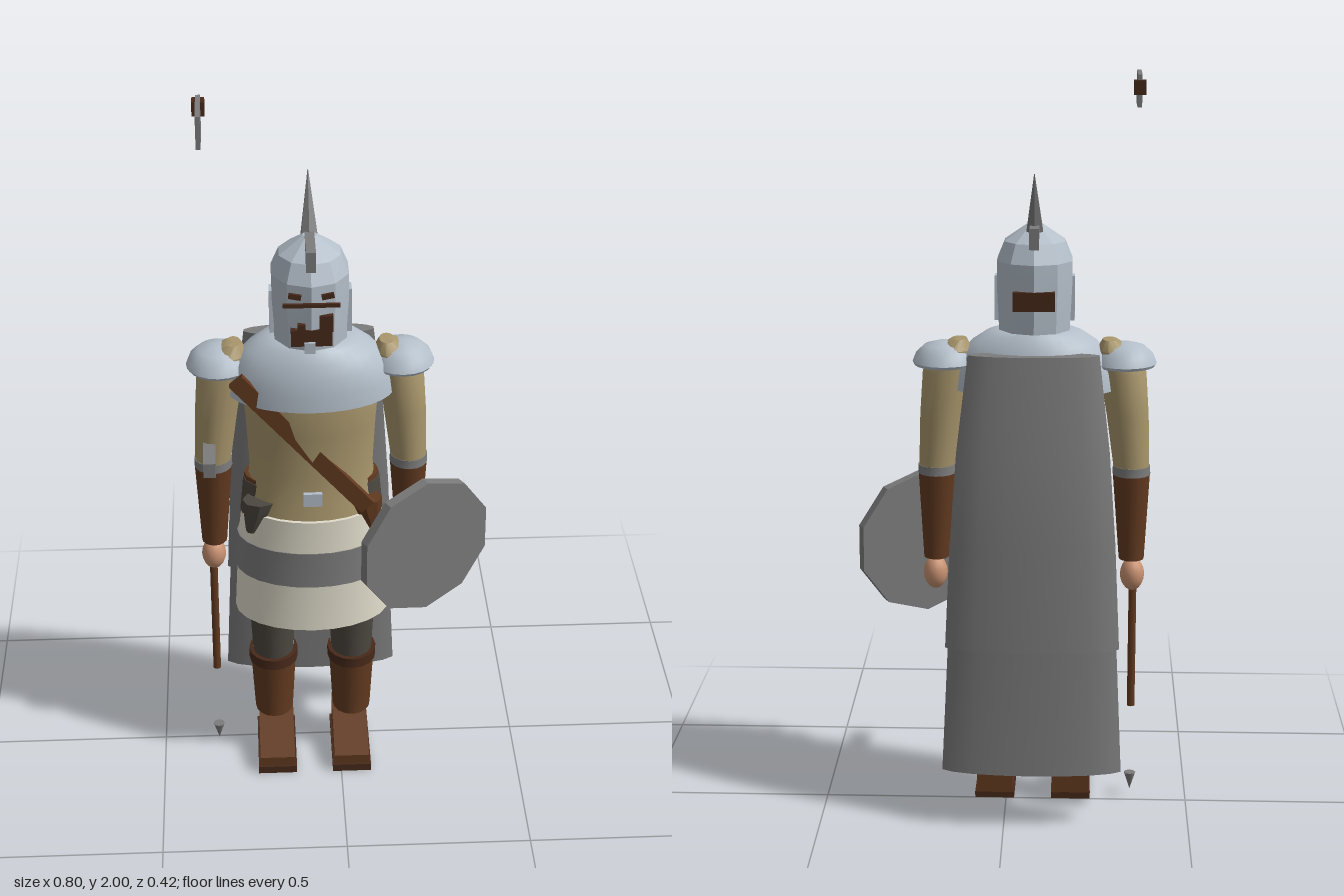
import * as THREE from 'three';
import { toCreasedNormals } from 'three/addons/utils/BufferGeometryUtils.js';

const mat = (name, color, side = THREE.FrontSide) => {
  const m = new THREE.MeshStandardMaterial({ color, side });
  m.name = name;
  return m;
};

// Closed loft through horizontal ellipses, listed bottom to top: [y, cx, cz, rx, rz]
function loft(sections, sides = 24, crease = 0.6) {
  const pos = [], idx = [], n = sections.length;
  for (const [y, cx, cz, rx, rz] of sections)
    for (let i = 0; i < sides; i++) {
      const a = (i / sides) * Math.PI * 2;
      pos.push(cx + Math.sin(a) * rx, y, cz + Math.cos(a) * rz);
    }
  for (let j = 0; j < n - 1; j++)
    for (let i = 0; i < sides; i++) {
      const k = (i + 1) % sides;
      const a = j * sides + i, b = j * sides + k, c = a + sides, d = b + sides;
      idx.push(a, b, d, a, d, c);
    }
  const bottom = pos.length / 3, top = bottom + 1;
  for (const s of [sections[0], sections[n - 1]]) pos.push(s[1], s[0], s[2]);
  for (let i = 0; i < sides; i++) {
    const k = (i + 1) % sides, t = (n - 1) * sides;
    idx.push(bottom, k, i, top, t + i, t + k);
  }
  const g = new THREE.BufferGeometry();
  g.setAttribute('position', new THREE.Float32BufferAttribute(pos, 3));
  g.setIndex(idx);
  return toCreasedNormals(g, crease);
}

// Side outline in (z, y), extruded across x and centred
function sideProfile(points, width) {
  const shape = new THREE.Shape(points.map(([z, y]) => new THREE.Vector2(z, y)));
  return new THREE.ExtrudeGeometry(shape, { depth: width, bevelEnabled: false })
    .rotateY(-Math.PI / 2).translate(width / 2, 0, 0);
}

export function createModel() {
  const steel = mat('steel', 0xb4bfca);
  const iron = mat('iron grey', 0x7c7c7c);
  const tan = mat('tan cloth', 0xa8966c);
  const brown = mat('brown leather', 0x623a20);
  const dark = mat('dark brown', 0x48291a);
  const cream = mat('cream cloth', 0xe0dccb);
  const slate = mat('dark trousers', 0x4c4740);
  const skin = mat('skin', 0xc99272);

  const model = new THREE.Group();
  const body = new THREE.Group();
  body.name = 'body';
  body.position.x = -0.075;
  model.add(body);

  const add = (name, geo, material, parent = body, x = 0, y = 0, z = 0) => {
    const m = new THREE.Mesh(geo, material);
    m.name = name;
    m.position.set(x, y, z);
    parent.add(m);
    return m;
  };
  const box = (name, w, h, d, material, x, y, z, parent = body) =>
    add(name, new THREE.BoxGeometry(w, h, d), material, parent, x, y, z);
  // Centred loft around the body axis: [y, rx, rz]
  const ring = (name, rows, material, sides, crease) =>
    add(name, loft(rows.map(([y, rx, rz]) => [y, 0, 0.035, rx, rz]), sides, crease), material);

  // Torso and clothing
  ring('torso', [[0.80, 0.185, 0.125], [0.88, 0.172, 0.112], [0.95, 0.165, 0.105], [1.08, 0.172, 0.112],
    [1.18, 0.18, 0.12], [1.27, 0.16, 0.10], [1.34, 0.07, 0.06]], tan);
  ring('mantle', [[1.175, 0.222, 0.143], [1.22, 0.217, 0.141], [1.265, 0.2, 0.133],
    [1.3, 0.168, 0.12], [1.325, 0.13, 0.105], [1.335, 0.1, 0.095]], steel, 32);
  ring('upperSkirt', [[0.73, 0.199, 0.134], [0.83, 0.187, 0.13]], cream);
  ring('skirtBand', [[0.63, 0.208, 0.139], [0.735, 0.203, 0.136]], iron);
  ring('lowerSkirt', [[0.49, 0.212, 0.141], [0.635, 0.204, 0.136]], cream);
  ring('belt', [[0.80, 0.193, 0.098], [0.905, 0.183, 0.092]], slate);
  ring('beltTrim', [[0.905, 0.181, 0.09], [0.918, 0.18, 0.09]], brown);
  box('buckle', 0.05, 0.038, 0.02, steel, 0.0, 0.895, 0.145);
  const strap = box('chestStrap', 0.045, 0.52, 0.02, brown, -0.025, 1.056, 0.133);
  strap.rotation.z = 0.72;

  // Head: faceted helmet with ridge and raked spike
  ring('helmet', [[1.335, 0.098, 0.104], [1.45, 0.104, 0.112], [1.52, 0.104, 0.112],
    [1.57, 0.083, 0.086], [1.615, 0.018, 0.018]], steel, 10, 0.1);
  box('helmetRidge', 0.025, 0.055, 0.215, iron, 0, 1.588, 0.037);
  add('helmetSpike', loft([[1.58, 0, 0.017, 0.028, 0.028], [1.755, 0, -0.053, 0.001, 0.001]], 6, 0.1), iron);
  box('visorSlit', 0.145, 0.01, 0.008, dark, 0, 1.475, 0.156);
  box('beard', 0.105, 0.045, 0.02, dark, 0, 1.375, 0.135);
  box('beardNotch', 0.028, 0.03, 0.008, steel, -0.005, 1.35, 0.148);
  box('hairBack', 0.11, 0.05, 0.025, dark, 0, 1.425, -0.068);
  for (const s of [-1, 1]) {
    box('eye', 0.032, 0.014, 0.008, dark, s * 0.042, 1.494, 0.143).rotation.z = s * 0.2;
    box('cheekGuard', 0.012, 0.12, 0.04, steel, s * 0.1, 1.415, 0.05);
  }
  box('moustache', 0.035, 0.045, 0.018, dark, 0.038, 1.415, 0.135);
  box('moustache', 0.02, 0.02, 0.018, dark, -0.025, 1.405, 0.14);

  // Arms and legs, mirrored
  for (const s of [-1, 1]) {
    const limb = (name, rows, material, sides = 16) =>
      add(name, loft(rows.map(([y, cx, cz, rx, rz]) => [y, s * cx, cz, rx, rz]), sides), material);
    limb('sleeve', [[0.955, 0.262, 0.025, 0.048, 0.05], [1.1, 0.25, 0.025, 0.056, 0.058],
      [1.22, 0.236, 0.025, 0.062, 0.062], [1.28, 0.215, 0.025, 0.05, 0.055], [1.308, 0.2, 0.025, 0.02, 0.03]], tan);
    limb('shoulderPlate', [[1.237, 0.24, 0.025, 0.08, 0.082], [1.245, 0.24, 0.025, 0.085, 0.087],
      [1.27, 0.24, 0.025, 0.075, 0.076], [1.29, 0.24, 0.025, 0.053, 0.054], [1.301, 0.24, 0.025, 0.015, 0.015]], steel, 20);
    limb('armBand', [[0.938, 0.262, 0.025, 0.051, 0.053], [0.962, 0.262, 0.025, 0.05, 0.052]], iron);
    limb('bracer', [[0.7, 0.265, 0.025, 0.034, 0.036], [0.94, 0.262, 0.025, 0.05, 0.05]], brown);
    add('hand', new THREE.SphereGeometry(1, 14, 10).scale(0.033, 0.046, 0.036), skin, body, s * 0.268, 0.655, 0.025);

    limb('trouserLeg', [[0.2, 0.11, 0.025, 0.05, 0.055], [0.52, 0.11, 0.025, 0.066, 0.07]], slate);
    limb('greave', [[0.2, 0.11, 0.01, 0.058, 0.058], [0.43, 0.11, 0.005, 0.062, 0.052]], steel, 10);
    limb('boot', [[0.13, 0.11, 0.025, 0.053, 0.06], [0.31, 0.11, 0.025, 0.063, 0.069]], brown);
    limb('bootCuff', [[0.302, 0.11, 0.025, 0.068, 0.074], [0.332, 0.11, 0.025, 0.068, 0.074]], dark);
    add('shoe', sideProfile([[-0.04, 0.034], [0.172, 0.018], [0.172, 0.05], [0.03, 0.095], [-0.04, 0.115]], 0.098),
      brown, body, s * 0.105);
    add('sole', sideProfile([[-0.04, 0.018], [0.178, 0], [0.178, 0.022], [-0.04, 0.036]], 0.108), dark, body, s * 0.105);
    // Pouch hanging at the hip
    const pouch = add('hipPouch', loft([[0.77, s * 0.163, 0.08, 0.016, 0.02], [0.83, s * 0.148, 0.085, 0.036, 0.035],
      [0.87, s * 0.14, 0.085, 0.047, 0.04]], 8, 0.3), s < 0 ? slate : brown);
    pouch.position.z = 0.015;
  }

  // Cape: two flattened, leaning tubes
  add('upperCape', loft([[0.5, 0, -0.145, 0.236, 0.055], [0.78, 0, -0.134, 0.223, 0.053],
    [1.03, 0, -0.113, 0.205, 0.05], [1.285, 0, -0.08, 0.175, 0.035]], 18), iron);
  add('lowerCape', loft([[0.155, 0, -0.16, 0.245, 0.05], [0.52, 0, -0.142, 0.228, 0.052]], 18), iron);

  // Ten-sided shield, turned outward
  const shield = new THREE.Group();
  shield.name = 'shield';
  shield.position.set(0.227, 0.72, 0.11);
  shield.rotation.y = 0.49;
  model.add(shield);
  add('shieldDisc', toCreasedNormals(new THREE.CylinderGeometry(0.2, 0.2, 0.03, 10).rotateX(Math.PI / 2), 0.1), iron, shield);

  // Polearm: shaft and its separate fittings
  const pole = new THREE.Group();
  pole.name = 'polearm';
  pole.position.set(-0.345, 0, 0.03);
  model.add(pole);
  add('shaft', new THREE.CylinderGeometry(0.011, 0.011, 0.38, 10), brown, pole, 0, 0.46, 0);
  add('buttSpike', new THREE.ConeGeometry(0.016, 0.05, 8).rotateX(Math.PI), iron, pole, 0, 0.045, 0);
  box('blade', 0.012, 0.085, 0.14, iron, 0, 1.9575, 0.087, pole);
  box('bladeSocket', 0.032, 0.036, 0.035, dark, 0, 1.968, 0.015, pole);
  box('sideHook', 0.032, 0.042, 0.13, iron, 0, 1.01, 0.085, pole);

  return model;
}
